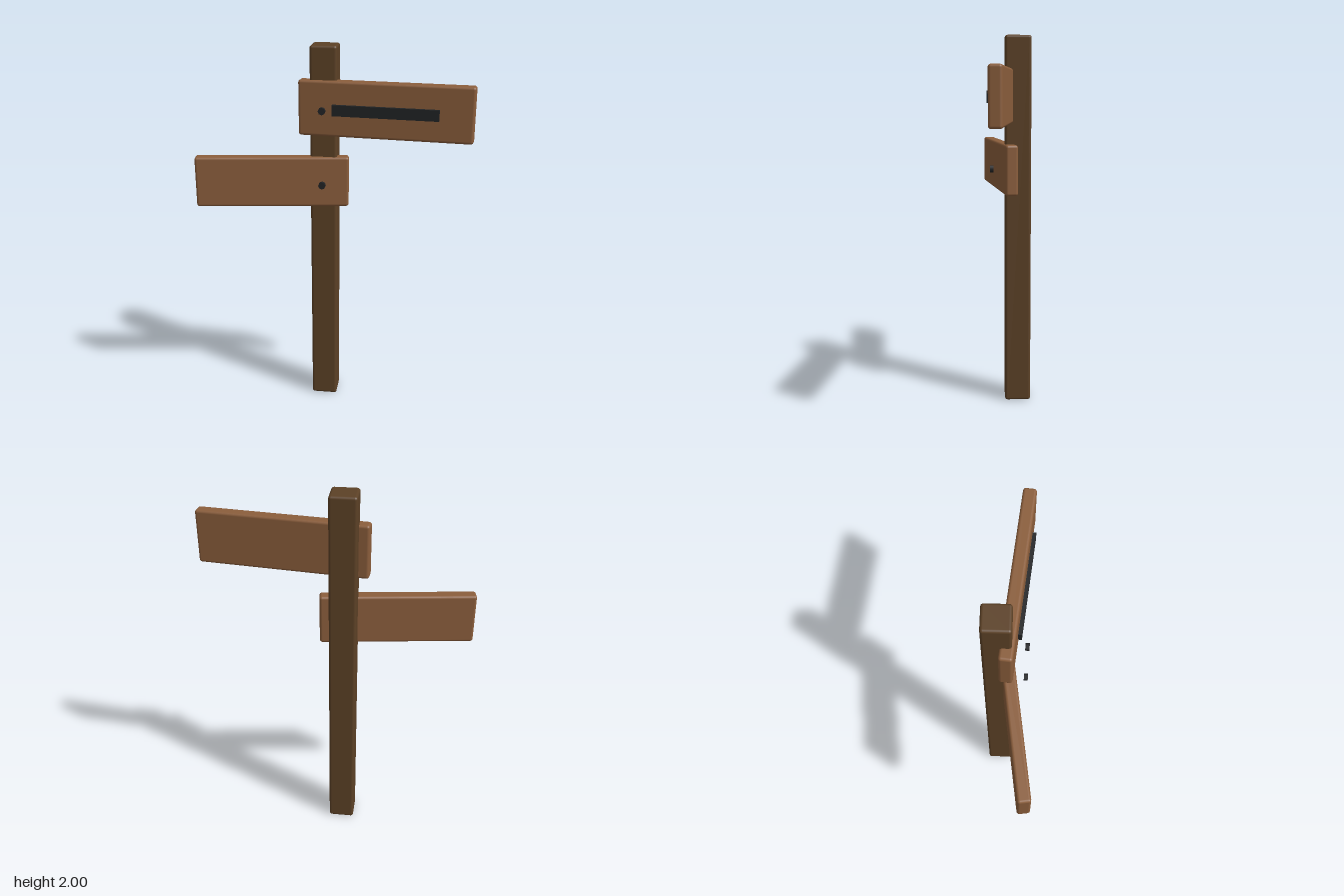
import * as THREE from 'three';
import { RoundedBoxGeometry } from 'three/addons/geometries/RoundedBoxGeometry.js';

const material = (name, color) => {
  const m = new THREE.MeshStandardMaterial({ color });
  m.name = name;
  return m;
};

export function createModel() {
  const darkWood = material('darkWood', 0x5c4126);
  const lightWood = material('lightWood', 0x8b5e3c);
  const iron = material('iron', 0x222426);

  const group = new THREE.Group();
  group.name = 'signpost';

  const add = (name, geometry, mat, x, y, z, turn = 0) => {
    const mesh = new THREE.Mesh(geometry, mat);
    mesh.name = name;
    mesh.position.set(x, y, z);
    mesh.rotation.y = turn;
    group.add(mesh);
  };

  // Square post with softened edges
  add('post', new RoundedBoxGeometry(0.14, 2, 0.14, 3, 0.014), darkWood, -0.05, 1, -0.055);

  // Two boards, each swung a little forward at its free end
  add('upperBoard', new RoundedBoxGeometry(0.898, 0.286, 0.067, 3, 0.014), lightWood, 0.27, 1.685, 0.033, -0.105);
  add('lowerBoard', new RoundedBoxGeometry(0.808, 0.27, 0.067, 3, 0.014), lightWood, -0.32, 1.294, 0.035, 0.138);

  // Dark strip along the upper board
  add('strip', new THREE.BoxGeometry(0.544, 0.056, 0.018), iron, 0.27, 1.683, 0.078, -0.105);

  // Bolt heads in front of the post
  const bolt = new THREE.CylinderGeometry(0.019, 0.019, 0.02, 8).rotateX(Math.PI / 2);
  add('upperBolt', bolt, iron, -0.048, 1.685, 0.085);
  add('lowerBolt', bolt, iron, -0.048, 1.294, 0.085);

  return group;
}
